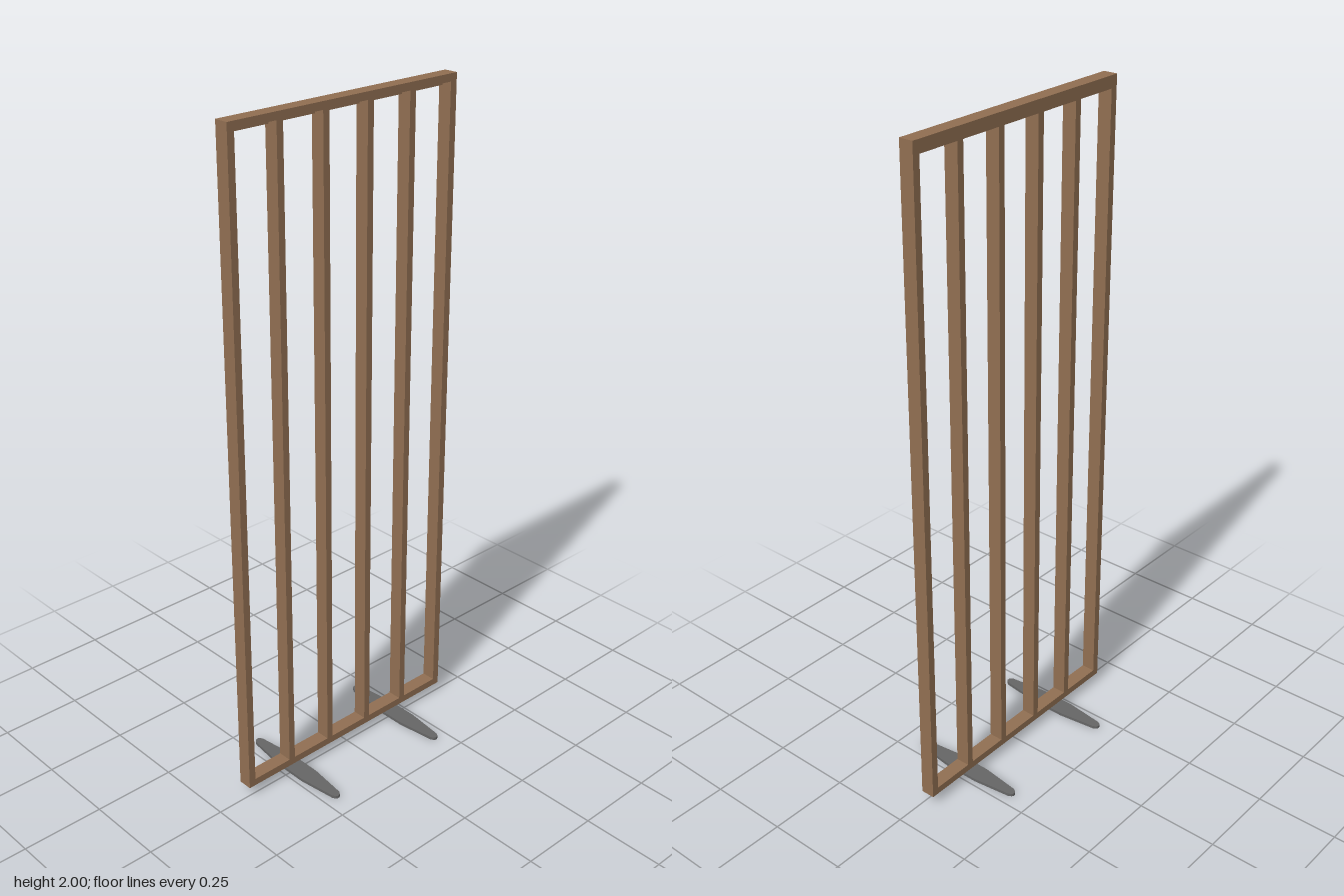
import * as THREE from 'three';

export function createModel() {
  const group = new THREE.Group();
  const wood = new THREE.MeshStandardMaterial({ color: 0x916f52 });
  wood.name = 'brown wood';
  const steel = new THREE.MeshStandardMaterial({ color: 0x666666 });
  steel.name = 'grey steel';

  const W = 0.395, BOTTOM = 0.034, TOP = 2, BACK = -0.035, FRONT = 0.008, T = 0.022;

  // box given by its minimum and maximum corners
  function bar(name, x0, x1, y0, y1, z0 = BACK, z1 = FRONT) {
    const mesh = new THREE.Mesh(new THREE.BoxGeometry(x1 - x0, y1 - y0, z1 - z0), wood);
    mesh.position.set((x0 + x1) / 2, (y0 + y1) / 2, (z0 + z1) / 2);
    mesh.name = name;
    group.add(mesh);
  }

  // outer frame
  bar('bottomRail', -W, W, BOTTOM, BOTTOM + T);
  bar('topRail', -W, W, TOP - T, TOP);
  bar('leftPost', W - T, W, BOTTOM + T, TOP - T);
  bar('rightPost', -W, -W + T, BOTTOM + T, TOP - T);

  // lip hanging from the back of the top rail
  const lip = 0.012;
  bar('topLip', -W + T, W - T, TOP - 0.036, TOP - T, BACK, BACK + lip);

  // four inner uprights, notched below the lip
  for (const x of [-0.23, -0.077, 0.077, 0.23]) {
    bar('upright', x - 0.0105, x + 0.0105, BOTTOM + T, TOP - 0.036);
    bar('uprightTip', x - 0.0105, x + 0.0105, TOP - 0.036, TOP - T, BACK + lip, FRONT);
  }

  // flat tapered feet with rounded ends
  const half = [[0.0285, 0.055], [0.0135, 0.174], [0.008, 0.183], [0.003, 0.186]];
  const side = [...half.map(([x, z]) => [x, -z]).reverse(), ...half];
  const outline = [...side, ...side.map(([x, z]) => [-x, z]).reverse()];
  const shape = new THREE.Shape(outline.map(([x, z]) => new THREE.Vector2(x, z)));
  const footGeometry = new THREE.ExtrudeGeometry(shape, { depth: 0.009, bevelEnabled: false });
  footGeometry.rotateX(-Math.PI / 2);
  for (const s of [1, -1]) {
    const foot = new THREE.Mesh(footGeometry, steel);
    foot.position.x = s * 0.206;
    foot.name = s > 0 ? 'leftFoot' : 'rightFoot';
    group.add(foot);
  }
  return group;
}
